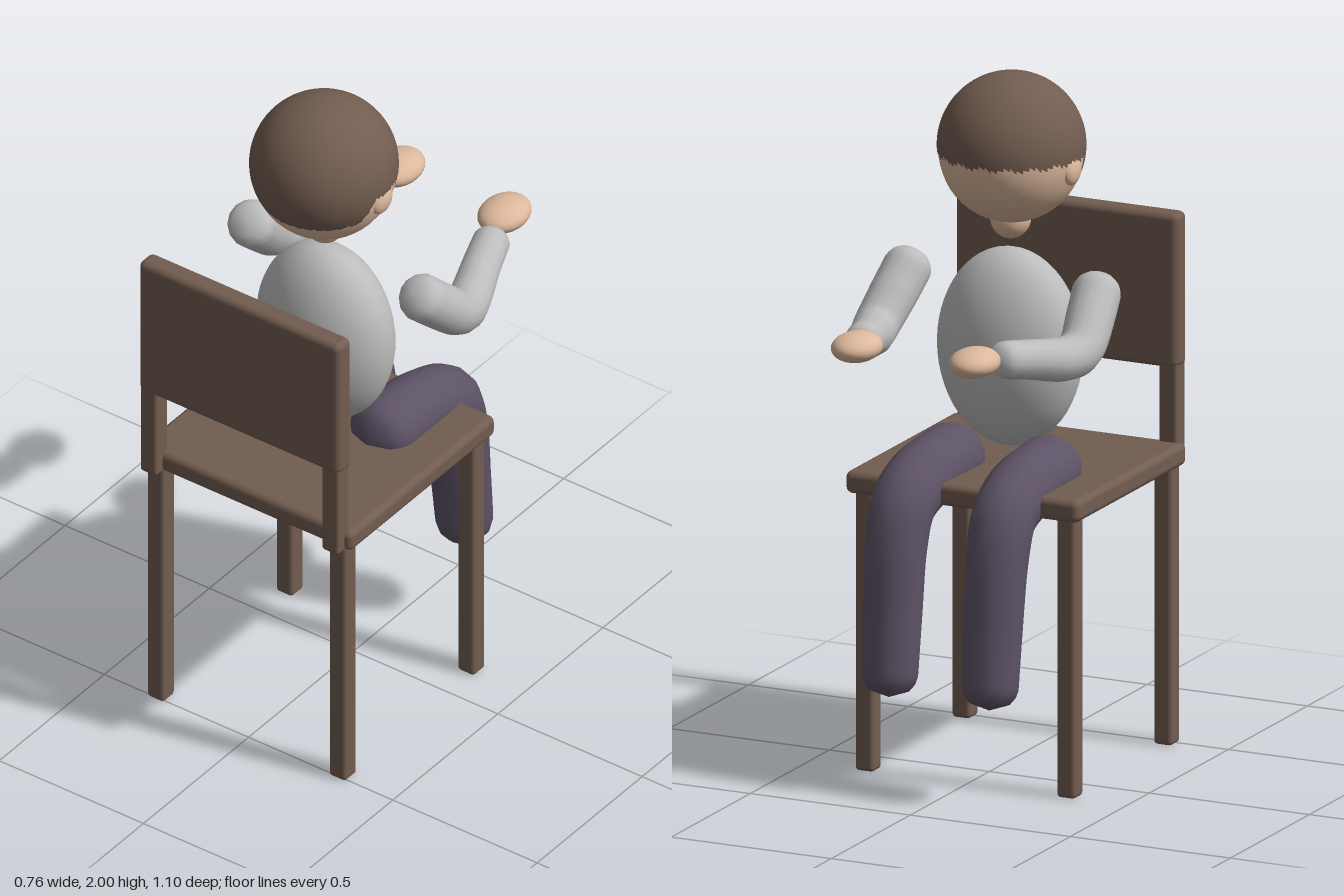
import * as THREE from 'three';
import { mergeVertices } from 'three/addons/utils/BufferGeometryUtils.js';
import { RoundedBoxGeometry } from 'three/addons/geometries/RoundedBoxGeometry.js';

const material = (name, color, side = THREE.FrontSide) => {
  const m = new THREE.MeshStandardMaterial({ color, side });
  m.name = name;
  return m;
};

// Tapered tube along a path, with rounded ends; radii are spread evenly along it.
function limbGeometry(points, radii) {
  const curve = new THREE.CatmullRomCurve3(points.map(p => new THREE.Vector3(...p)), false, 'centripetal');
  const length = curve.getLength(), rings = 44, sides = 14;
  const geo = new THREE.TubeGeometry(curve, rings, 1, sides);
  const pos = geo.attributes.position, v = new THREE.Vector3();
  for (let i = 0; i <= rings; i++) {
    const t = i / rings, centre = curve.getPointAt(t);
    const f = t * (radii.length - 1), k = Math.min(Math.floor(f), radii.length - 2);
    let r = THREE.MathUtils.lerp(radii[k], radii[k + 1], f - k);
    const d = Math.min(t, 1 - t) * length / (r * 0.85);
    if (d < 1) r *= Math.sqrt(Math.max(0, 1 - (1 - d) ** 2));
    for (let j = 0; j <= sides; j++) {
      const n = i * (sides + 1) + j;
      v.fromBufferAttribute(pos, n).sub(centre).multiplyScalar(r).add(centre);
      pos.setXYZ(n, v.x, v.y, v.z);
    }
  }
  geo.deleteAttribute('uv');
  geo.deleteAttribute('normal');
  const merged = mergeVertices(geo, 1e-5);
  merged.computeVertexNormals();
  return merged;
}

// Spherical cap of hair: high hairline over the face, longer and jagged at the back.
function hairGeometry(radius) {
  const geo = new THREE.SphereGeometry(radius, 72, 32);
  const pos = geo.attributes.position, cols = 73;
  for (let i = 0; i <= 32; i++) for (let j = 0; j < cols; j++) {
    const a = (j / 72) * Math.PI * 2;
    const back = Math.abs(a > Math.PI ? a - Math.PI * 2 : a) * 180 / Math.PI;
    const ramp = THREE.MathUtils.clamp((back - 55) / 28, 0, 1);
    const jag = (j % 72) % 4 < 2 ? 0.004 : -0.004;
    const edge = THREE.MathUtils.lerp(-0.138, -0.026, Math.round(ramp * 4) / 4) + jag;
    const theta = Math.acos(edge / radius) * i / 32, s = Math.sin(theta) * radius;
    pos.setXYZ(i * cols + j, Math.sin(a) * s, Math.cos(theta) * radius, Math.cos(a) * s);
  }
  // positions run the opposite way round from the default sphere only if mirrored, so set exact normals
  for (let n = 0; n < pos.count; n++)
    geo.attributes.normal.setXYZ(n, pos.getX(n) / radius, pos.getY(n) / radius, pos.getZ(n) / radius);
  return geo;
}

export function createModel() {
  const model = new THREE.Group();
  const wood = material('brown', 0x725d50);
  const hair = material('hair brown', 0x725d50, THREE.DoubleSide);
  const skin = material('skin', 0xdcb89c);
  const shirt = material('light grey', 0xbcbcbc);
  const trousers = material('dusk purple', 0x5d5366);

  const add = (parent, name, geo, mat, x = 0, y = 0, z = 0) => {
    const mesh = new THREE.Mesh(geo, mat);
    mesh.name = name;
    mesh.position.set(x, y, z);
    parent.add(mesh);
    return mesh;
  };
  const ball = (parent, name, mat, [x, y, z], [rx, ry, rz]) =>
    add(parent, name, new THREE.SphereGeometry(1, 40, 28), mat, x, y, z).scale.set(rx, ry, rz);

  // Chair
  const chair = new THREE.Group();
  chair.name = 'chair';
  model.add(chair);
  const board = (name, w, h, d, x, y, z, r) =>
    add(chair, name, new RoundedBoxGeometry(w, h, d, 3, r), wood, x, y, z);
  board('seat', 0.73, 0.066, 0.695, 0, 0.842, 0.168, 0.02);
  board('backrest', 0.696, 0.45, 0.066, 0, 1.315, 0.517, 0.02);
  for (const s of [1, -1]) {
    board('backPost', 0.058, 0.32, 0.058, s * 0.315, 0.97, 0.518, 0.01);
    board('backLeg', 0.058, 0.82, 0.058, s * 0.315, 0.41, 0.484, 0.012);
    board('frontLeg', 0.058, 0.82, 0.058, s * 0.315, 0.41, -0.128, 0.012);
  }

  // Seated figure, turned away from the backrest
  const figure = new THREE.Group();
  figure.name = 'figure';
  model.add(figure);
  ball(figure, 'torso', shirt, [0, 1.207, 0.132], [0.217, 0.287, 0.147]);
  ball(figure, 'neck', skin, [0, 1.58, 0.135], [0.058, 0.06, 0.058]);
  ball(figure, 'head', skin, [0, 1.777, 0.14], [0.205, 0.206, 0.205]);
  add(figure, 'hair', hairGeometry(0.21), hair, 0, 1.79, 0.141);

  for (const s of [1, -1]) {
    ball(figure, 'ear', skin, [s * 0.192, 1.742, 0.132], [0.022, 0.044, 0.044]);
    add(figure, 'arm', limbGeometry([
      [s * 0.288, 1.452, 0.12], [s * 0.305, 1.36, 0.025], [s * 0.316, 1.285, -0.065],
      [s * 0.302, 1.272, -0.125], [s * 0.252, 1.297, -0.26], [s * 0.208, 1.323, -0.39],
    ], [0.07, 0.069, 0.064, 0.057, 0.053]), shirt);
    ball(figure, 'hand', skin, [s * 0.184, 1.332, -0.465], [0.069, 0.042, 0.088]);
    add(figure, 'leg', limbGeometry([
      [s * 0.15, 0.878, 0.147], [s * 0.152, 0.878, 0], [s * 0.155, 0.86, -0.14],
      [s * 0.157, 0.815, -0.227], [s * 0.158, 0.72, -0.266], [s * 0.157, 0.5, -0.295], [s * 0.157, 0.278, -0.318],
    ], [0.103, 0.101, 0.094, 0.088, 0.084, 0.08]), trousers);
  }
  return model;
}
